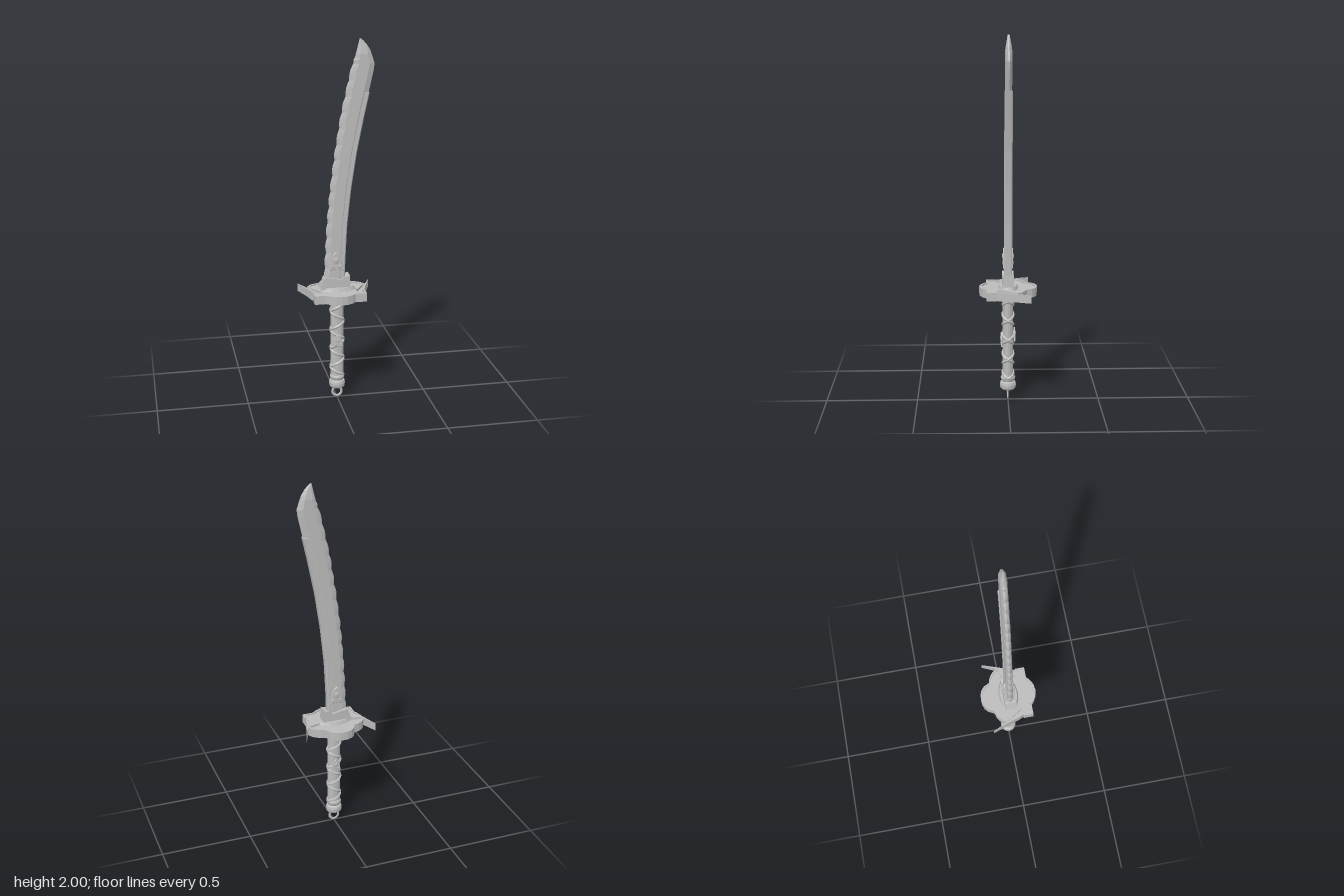
import * as THREE from 'three';

const steel = new THREE.MeshStandardMaterial({ color: 0xbcbcbc });
steel.name = 'steel grey';

function add(parent, name, geometry, x = 0, y = 0, z = 0) {
  const flat = geometry.index ? geometry.toNonIndexed() : geometry;
  flat.computeVertexNormals();
  const mesh = new THREE.Mesh(flat, steel);
  mesh.name = name;
  mesh.position.set(x, y, z);
  parent.add(mesh);
  return mesh;
}

// Straight-line lookup in a table of [y, x] pairs
function lookup(table, y) {
  for (let i = 1; i < table.length; i++) {
    const [y0, x0] = table[i - 1], [y1, x1] = table[i];
    if (y <= y1) return x0 + (x1 - x0) * (y - y0) / (y1 - y0);
  }
  return table[table.length - 1][1];
}

// Joins horizontal sections, each a list of [x, z] running from +x towards -z, and caps both ends
function loft(heights, section) {
  const pos = [], idx = [];
  let n = 0;
  heights.forEach((y) => {
    const ring = section(y);
    n = ring.length;
    ring.forEach(([x, z]) => pos.push(x, y, z));
  });
  const last = (heights.length - 1) * n;
  for (let r = 0; r < heights.length - 1; r++) {
    for (let i = 0; i < n; i++) {
      const a = r * n + i, b = r * n + (i + 1) % n;
      idx.push(a, b, b + n, a, b + n, a + n);
    }
  }
  for (let i = 1; i < n - 1; i++) {
    idx.push(0, i + 1, i, last, last + i, last + i + 1);
  }
  const g = new THREE.BufferGeometry();
  g.setAttribute('position', new THREE.Float32BufferAttribute(pos, 3));
  g.setIndex(idx);
  return g;
}

const steps = (from, to, count) => Array.from({ length: count + 1 }, (_, i) => from + (to - from) * i / count);
const toShape = (pts) => new THREE.Shape(pts.map(([x, y]) => new THREE.Vector2(x, y)));

// Horizontal plate from an [x, z] outline
function plate(shape, bottom, top) {
  return new THREE.ExtrudeGeometry(shape, { depth: top - bottom, bevelEnabled: false })
    .rotateX(Math.PI / 2).translate(0, top, 0);
}

const EDGE = [[0.6, -0.068], [0.75, -0.065], [1, -0.052], [1.2, -0.034], [1.4, -0.008], [1.6, 0.024], [1.8, 0.068], [1.9, 0.094], [2, 0.119]];
const SPINE = [[0.6, 0.036], [0.8, 0.04], [1, 0.05], [1.2, 0.071], [1.4, 0.101], [1.6, 0.141], [1.72, 0.168],
  [1.83, 0.193], [1.87, 0.198], [1.9, 0.188], [1.94, 0.174], [1.97, 0.155], [1.99, 0.136], [2, 0.122]];

function buildBlade(parent) {
  // Curved blade with a scalloped left edge
  const blade = loft([...steps(0.64, 1.86, 120), ...steps(1.87, 2, 13)], (y) => {
    const right = lookup(SPINE, y);
    const wave = y < 1.9 ? 0.007 * Math.abs(Math.sin(y * Math.PI / 0.085)) : 0;
    const left = lookup(EDGE, y) - wave;
    const w = right - left;
    const h = 0.018 * Math.min(1, 0.3 + (2 - y) * 9);
    return [[right, 0.004], [right, -0.004], [right - w * 0.25, -h], [left + w * 0.25, -h], [left + w * 0.06, -h * 0.6],
      [left, 0], [left + w * 0.06, h * 0.6], [left + w * 0.25, h], [right - w * 0.25, h]];
  });
  // Sections run clockwise seen from above or not, depending on z: reversed here to face outward
  add(parent, 'blade', flip(blade));

  // Thick strip along the back of the blade
  const strip = loft(steps(0.65, 1.72, 32), (y) => {
    const r = lookup(SPINE, y) + 0.003, l = r - 0.026;
    return [[r, 0.015], [r, -0.015], [r - 0.006, -0.022], [l, -0.022], [l, 0.022], [r - 0.006, 0.022]];
  });
  add(parent, 'bladeSpine', flip(strip));

  // Slanted collar at the foot of the blade
  const collar = toShape([[-0.096, 0.648], [0.07, 0.648], [0.066, 0.725], [0.035, 0.715], [0.02, 0.7], [-0.065, 0.718], [-0.075, 0.705]]);
  add(parent, 'bladeCollar', new THREE.ExtrudeGeometry(collar, { depth: 0.062, bevelEnabled: false }), 0, 0, -0.031);
}

// Reverses triangle order
function flip(g) {
  const a = g.index.array;
  const volume = () => {
    const p = g.attributes.position, v = [0, 1, 2].map(() => new THREE.Vector3());
    let s = 0;
    for (let i = 0; i < a.length; i += 3) {
      v.forEach((q, k) => q.fromBufferAttribute(p, a[i + k]));
      s += v[0].dot(v[1].clone().cross(v[2]));
    }
    return s;
  };
  if (volume() < 0) for (let i = 0; i < a.length; i += 3) [a[i], a[i + 1]] = [a[i + 1], a[i]];
  return g;
}

// Small peaked ornament with a raised boss
function ornament(parent, name, x, y, z, scale, side) {
  const g = new THREE.Group();
  g.name = name;
  const base = toShape([[-0.038, -0.045], [-0.015, -0.035], [0.015, -0.035], [0.038, -0.045], [0.03, -0.012],
    [0.024, 0.015], [0.012, 0.045], [0, 0.055], [-0.012, 0.045], [-0.024, 0.015], [-0.03, -0.012]]);
  add(g, 'ornamentBase', new THREE.ExtrudeGeometry(base, { depth: 0.008, bevelSize: 0.003, bevelThickness: 0.003, bevelSegments: 1 }));
  add(g, 'ornamentBoss', new THREE.SphereGeometry(0.016, 8, 6).scale(1, 1.2, 0.5), 0, 0.012, 0.009);
  for (const s of [-1, 1]) add(g, 'ornamentBead', new THREE.SphereGeometry(0.01, 6, 5).scale(1, 1, 0.6), s * 0.02, -0.022, 0.009);
  g.position.set(x, y, z * side);
  g.scale.setScalar(scale);
  if (side < 0) g.rotation.y = Math.PI;
  parent.add(g);
}

function buildGuard(parent) {
  // Lobed outline, mirrored left to right
  const half = [[0, -0.157], [0.025, -0.155], [0.05, -0.145], [0.07, -0.127], [0.085, -0.096], [0.11, -0.089], [0.135, -0.074],
    [0.152, -0.055], [0.162, -0.033], [0.158, 0], [0.149, 0.035], [0.135, 0.062], [0.142, 0.062], [0.142, 0.118],
    [0.08, 0.118], [0.06, 0.137], [0.032, 0.151], [0, 0.156]];
  const outline = [...half, ...half.slice(1, -1).reverse().map(([x, z]) => [-x, z])];
  const inner = outline.map(([x, z]) => [x * 0.935, z * 0.925]);
  const rim = toShape(outline);
  rim.holes.push(toShape(inner));
  add(parent, 'guardRim', plate(rim, 0.6, 0.648));
  add(parent, 'guardPlate', plate(toShape(inner), 0.61, 0.64));

  // Swept spikes outside and barbs lying on the plate
  for (const s of [-1, 1]) {
    const mirror = (pts) => toShape(pts.map(([x, z]) => [x * s, z]));
    add(parent, 'guardSpike', plate(mirror([[0.2, -0.118], [0.16, -0.004], [0.145, 0.02], [0.14, -0.03], [0.163, -0.038]]), 0.602, 0.646));
    add(parent, 'guardBarb', plate(mirror([[0.16, -0.035], [0.1, 0.06], [0.088, -0.018]]), 0.635, 0.652));
  }

  // Oval seats above and below the plate
  add(parent, 'upperSeat', new THREE.CylinderGeometry(0.088, 0.1, 0.018, 16).scale(1, 1, 0.55), 0, 0.649, 0);
  add(parent, 'lowerSeat', new THREE.CylinderGeometry(0.065, 0.046, 0.025, 16).scale(1, 1, 0.75), 0, 0.598, 0);
}

function buildHandle(parent) {
  // Oval grip and crossed wrapping
  add(parent, 'grip', new THREE.CylinderGeometry(0.036, 0.036, 0.49, 16).scale(1, 1, 0.8), 0, 0.355, 0);
  for (const dir of [-1, 1]) {
    const pts = steps(0, 1, 96).map((t) => {
      const a = dir * t * Math.PI * 2 * 4;
      return new THREE.Vector3(Math.cos(a) * 0.035, 0.13 + t * 0.44, Math.sin(a) * 0.028);
    });
    add(parent, 'gripWrap', new THREE.TubeGeometry(new THREE.CatmullRomCurve3(pts), 150, 0.0085, 6));
  }

  // Turned pommel with a hanging ring
  const profile = [[0, 0.062], [0.034, 0.062], [0.043, 0.072], [0.045, 0.09], [0.042, 0.104], [0.034, 0.11],
    [0.038, 0.118], [0.041, 0.13], [0.036, 0.14], [0, 0.14]].map(([x, y]) => new THREE.Vector2(x, y));
  add(parent, 'pommel', new THREE.LatheGeometry(profile, 16));
  add(parent, 'pommelRing', new THREE.TorusGeometry(0.026, 0.007, 6, 20).scale(1, 1, 0.6), 0, 0.034, 0);
}

export function createModel() {
  const model = new THREE.Group();
  model.name = 'sword';
  buildBlade(model);
  buildGuard(model);
  buildHandle(model);
  for (const side of [-1, 1]) {
    ornament(model, 'bladeOrnament', -0.008, 0.8, 0.016, 1, side);
    ornament(model, 'gripOrnament', 0, side > 0 ? 0.345 : 0.375, 0.032, 0.7, side);
  }
  return model;
}
